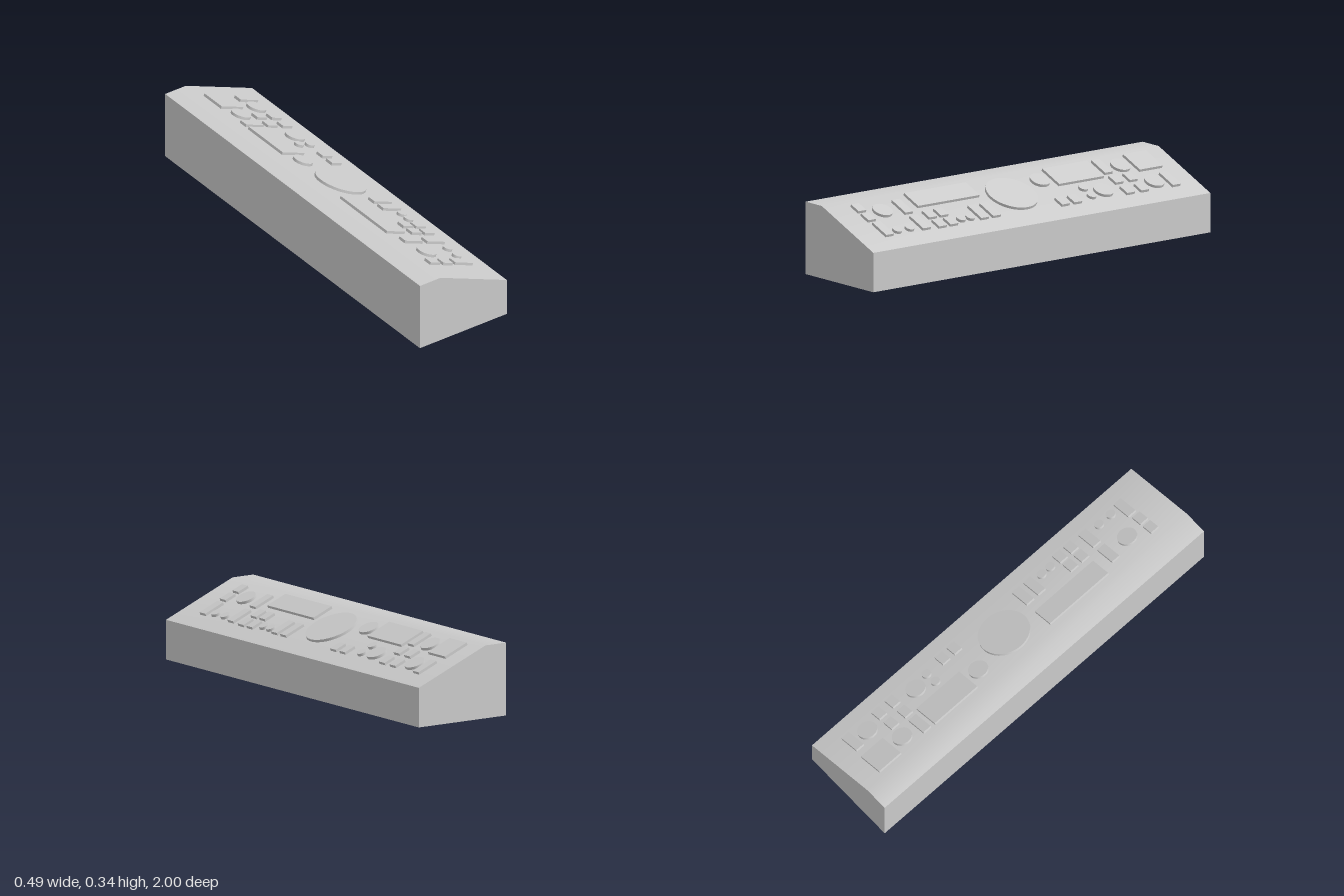
import * as THREE from 'three';
import { toCreasedNormals } from 'three/addons/utils/BufferGeometryUtils.js';

const CREST = { x: -0.13, y: 0.342 };          // upper edge of the sloped face
const LIP = { x: 0.247, y: 0.186 };            // lower edge of the sloped face
const TILT = Math.atan2(CREST.y - LIP.y, LIP.x - CREST.x);
const THICK = 0.013;                           // height of the controls

export function createModel() {
  const model = new THREE.Group();
  model.name = 'controlConsole';
  const material = new THREE.MeshStandardMaterial({ color: 0xcccccc });

  // Console body: side profile extruded along z
  const profile = new THREE.Shape([
    new THREE.Vector2(-0.247, 0),
    new THREE.Vector2(0.247, 0),
    new THREE.Vector2(LIP.x, LIP.y),
    new THREE.Vector2(CREST.x, CREST.y),
    new THREE.Vector2(-0.247, 0.342),
  ]);
  const bodyGeo = new THREE.ExtrudeGeometry(profile, { depth: 2, bevelEnabled: false });
  bodyGeo.translate(0, 0, -1);
  const body = new THREE.Mesh(toCreasedNormals(bodyGeo, 0.7), material);
  body.name = 'consoleBody';
  model.add(body);

  // Controls lie on the slope: local x runs down it, local y is its normal
  const panel = new THREE.Group();
  panel.name = 'controlPanel';
  panel.position.set(CREST.x, CREST.y, 0);
  panel.rotation.z = -TILT;
  model.add(panel);

  const place = (name, geometry, x, z) => {
    const mesh = new THREE.Mesh(geometry, material);
    mesh.name = name;
    const down = (x - CREST.x - THICK / 2 * Math.sin(TILT)) / Math.cos(TILT);
    mesh.position.set(down, THICK / 2, z);
    panel.add(mesh);
  };
  // Rectangle given by its plan extents
  const plate = (name, x0, x1, z0, z1) => {
    const width = (x1 - x0 - THICK * Math.sin(TILT)) / Math.cos(TILT);
    place(name, new THREE.BoxGeometry(width, THICK, z1 - z0), (x0 + x1) / 2, (z0 + z1) / 2);
  };
  const disc = (name, x, z, r) =>
    place(name, new THREE.CylinderGeometry(r, r, THICK, 40), x, z);

  // Screens
  plate('squareScreen', -0.103, 0.026, -0.897, -0.762);
  plate('wideScreen', -0.103, 0.026, -0.55, -0.283);
  plate('longScreen', -0.103, 0.005, 0.172, 0.537);

  // Central dial
  disc('centralDial', 0.026, 0, 0.125);

  // Medium dials: x, z
  for (const [x, z] of [[0.111, -0.778], [-0.036, -0.696], [0.111, -0.476], [-0.032, -0.215], [-0.016, 0.732]])
    disc('dial', x, z, 0.048);

  // Small round buttons: x, z
  for (const [x, z] of [[0.071, -0.389], [0.132, -0.389], [0.132, 0.332], [0.132, 0.386], [0.132, 0.692], [0.132, 0.765]])
    disc('roundButton', x, z, 0.023);

  // Square keys: centre x, centre z
  const keys = [
    [0.055, -0.679], [0.138, -0.679], [0.055, -0.595], [0.138, -0.595],
    [0.138, -0.282], [0.138, -0.209],
    [0.066, 0.453], [0.138, 0.453], [0.066, 0.521], [0.138, 0.521],
    [-0.06, 0.839], [0.012, 0.839],
  ];
  for (const [x, z] of keys)
    plate('squareKey', x - 0.03, x + 0.03, z - 0.023, z + 0.023);

  // Wide keys: centre x, centre z
  const wideKeys = [
    [0.116, -0.865], [-0.047, -0.595], [0.109, 0.195], [0.109, 0.266],
    [-0.018, 0.613], [0.109, 0.611], [0.109, 0.831],
  ];
  for (const [x, z] of wideKeys)
    plate('wideKey', x - 0.053, x + 0.053, z - 0.023, z + 0.023);

  return model;
}
